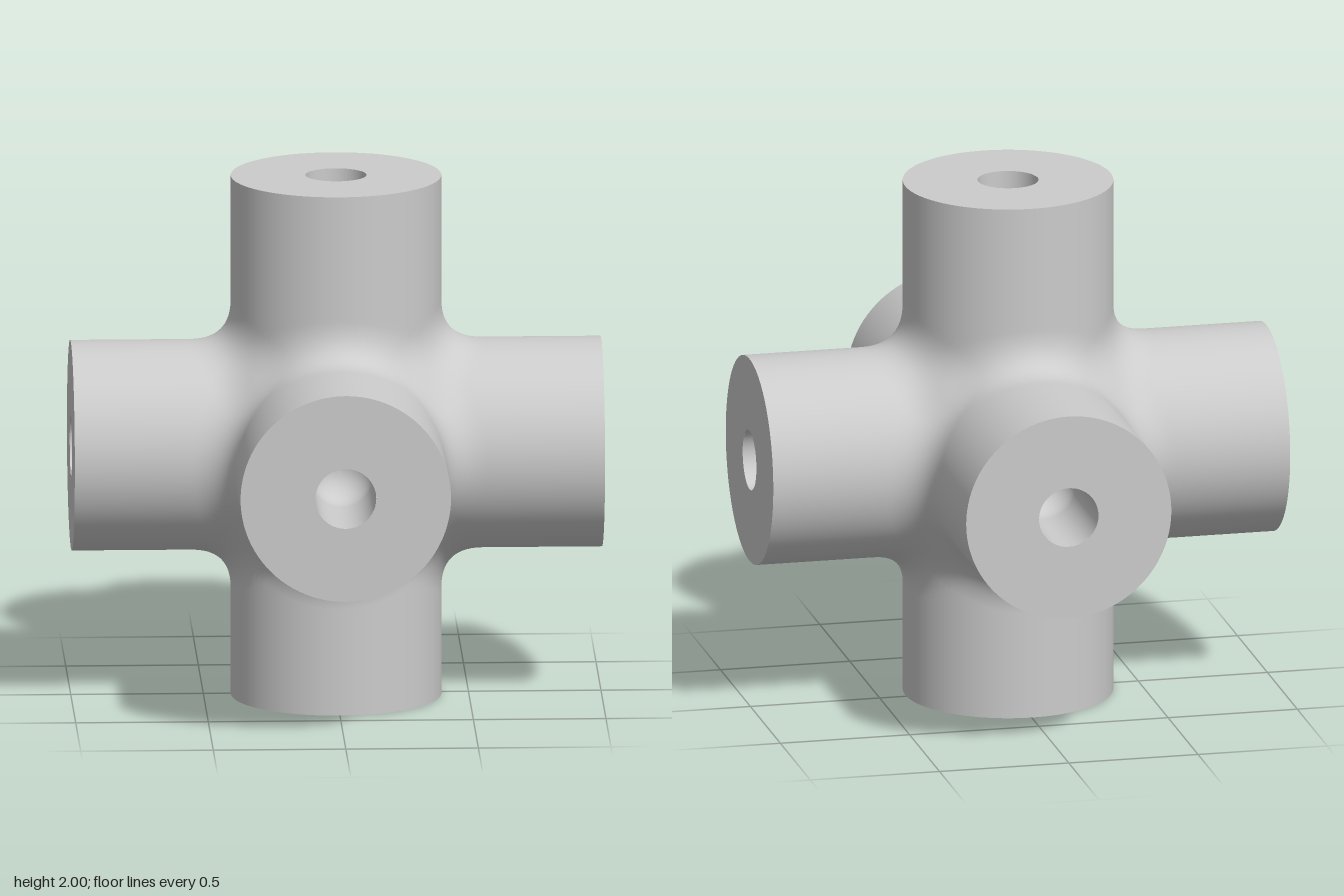
import * as THREE from 'three';

const R = 0.397;          // arm radius
const BORE = 0.115;       // bore radius
const DEPTH = 0.5;        // bore depth
const BLEND = 0.16;       // fillet width between arms
const SIDES = 96, STEPS = 28;
const CENTRE = new THREE.Vector3(0, 0.965, 0.015);

const smoothMin = (a, b) => {
  const h = Math.max(BLEND - Math.abs(a - b), 0) / BLEND;
  return Math.min(a, b) - h * h * BLEND / 4;
};

// Signed distance to three crossing cylinders with filleted joints
function field(p) {
  const [a, b, c] = [Math.hypot(p.y, p.z), Math.hypot(p.x, p.z), Math.hypot(p.x, p.y)].sort((m, n) => m - n);
  return smoothMin(smoothMin(a - R, b - R), c - R);
}

function fieldNormal(p) {
  const e = 1e-3, n = new THREE.Vector3();
  for (const k of ['x', 'y', 'z']) {
    const q = p.clone(), s = p.clone();
    q[k] += e;
    s[k] -= e;
    n[k] = field(q) - field(s);
  }
  return n.normalize();
}

// Outer skin of one arm along local +y, out to the seams with its neighbours
function armSkin(length) {
  const pos = [], nor = [], index = [];
  for (let i = 0; i <= SIDES; i++) {
    const t = i / SIDES * Math.PI * 2, c = Math.cos(t), s = Math.sin(t);
    const seam = Math.max(Math.abs(c), Math.abs(s));
    for (let j = 0; j <= STEPS; j++) {
      const rise = THREE.MathUtils.lerp(seam, length / R, Math.pow(j / STEPS, 1.5));
      const dir = new THREE.Vector3(c, rise, s);
      // Find where the ray from the hub leaves the body
      let lo = 0.2, hi = 1;
      for (let k = 0; k < 26; k++) {
        const mid = (lo + hi) / 2;
        if (field(dir.clone().multiplyScalar(mid)) < 0) lo = mid;
        else hi = mid;
      }
      const p = dir.multiplyScalar(lo);
      pos.push(p.x, p.y, p.z);
      nor.push(...fieldNormal(p).toArray());
      if (i < SIDES && j < STEPS) {
        const a = i * (STEPS + 1) + j, b = a + STEPS + 1;
        index.push(a, a + 1, b, b, a + 1, b + 1);
      }
    }
  }
  const g = new THREE.BufferGeometry();
  g.setAttribute('position', new THREE.Float32BufferAttribute(pos, 3));
  g.setAttribute('normal', new THREE.Float32BufferAttribute(nor, 3));
  g.setIndex(index);
  return g;
}

// Blind bore with a rounded bottom
function boreGeometry(length) {
  const pts = [new THREE.Vector2(BORE, length)];
  for (let k = 0; k <= 10; k++) {
    const a = k / 10 * Math.PI / 2;
    pts.push(new THREE.Vector2(BORE * Math.cos(a), length - DEPTH + BORE - BORE * Math.sin(a)));
  }
  return new THREE.LatheGeometry(pts, 48);
}

export function createModel() {
  const model = new THREE.Group();
  model.name = 'sixWayJunction';
  const material = new THREE.MeshStandardMaterial({ color: 0xcccccc });
  const names = [['leftArm', 'rightArm'], ['topArm', 'bottomArm'], ['frontArm', 'backArm']];
  const axes = [new THREE.Vector3(1, 0, 0), new THREE.Vector3(0, 1, 0), new THREE.Vector3(0, 0, 1)];
  const lengths = [[1, 1], [2 - CENTRE.y, CENTRE.y], [1 - CENTRE.z, 1 + CENTRE.z]];

  for (let axis = 0; axis < 3; axis++) {
    for (let side = 0; side < 2; side++) {
      const length = lengths[axis][side];
      const arm = new THREE.Group();
      arm.name = names[axis][side];
      const add = (geometry, name) => {
        const mesh = new THREE.Mesh(geometry, material);
        mesh.name = name;
        arm.add(mesh);
      };
      add(armSkin(length), 'armSkin');
      add(new THREE.RingGeometry(BORE, R, SIDES).rotateX(-Math.PI / 2).translate(0, length, 0), 'endFace');
      add(boreGeometry(length), 'bore');

      // Turn local +y to the arm's direction
      const out = axes[axis].clone().multiplyScalar(side ? -1 : 1);
      const across = axes[(axis + 1) % 3];
      const turn = new THREE.Matrix4().makeBasis(across, out, across.clone().cross(out));
      arm.quaternion.setFromRotationMatrix(turn);
      arm.position.copy(CENTRE);
      model.add(arm);
    }
  }
  return model;
}
